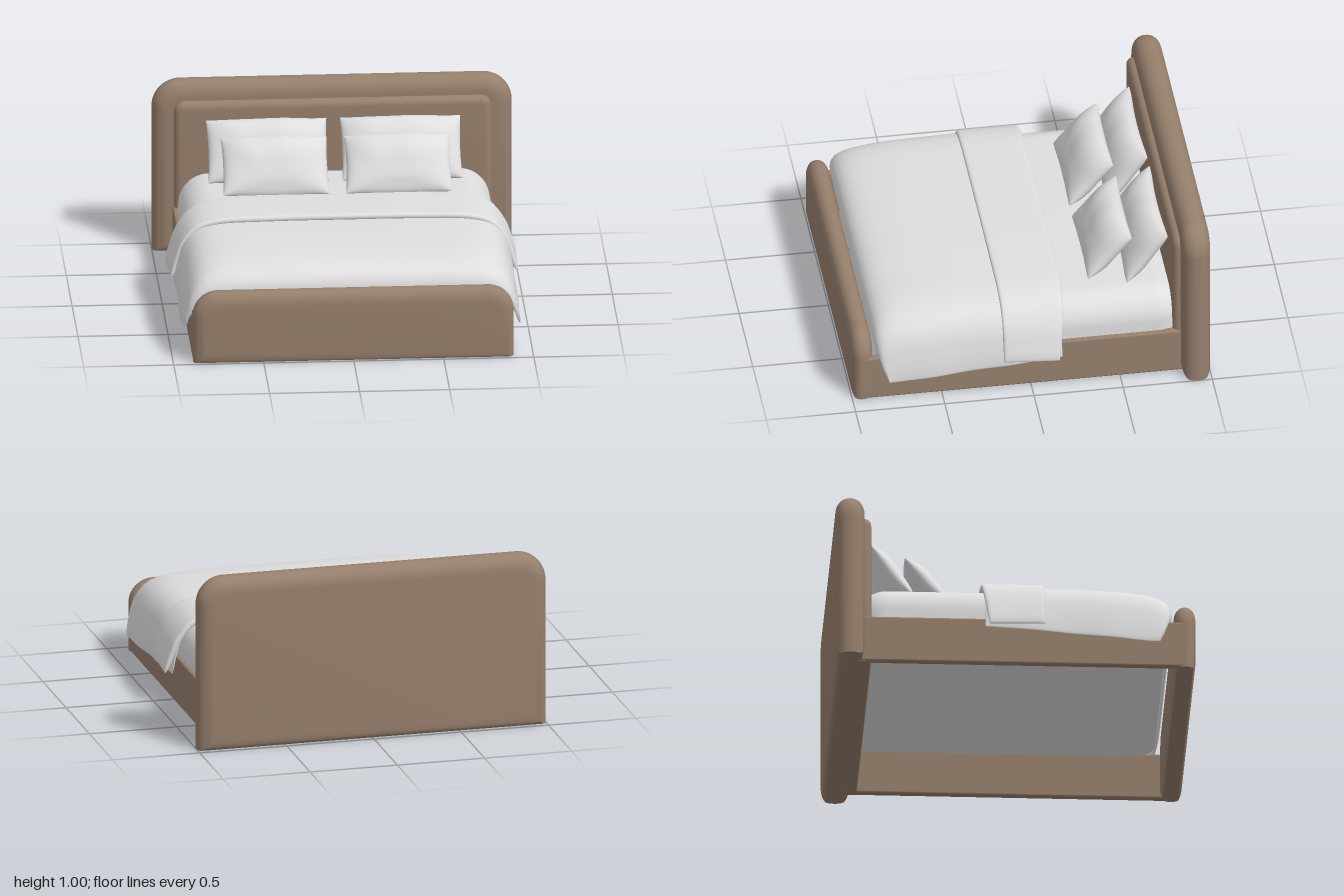
import * as THREE from 'three';
import { mergeVertices, toCreasedNormals } from 'three/addons/utils/BufferGeometryUtils.js';
import { RoundedBoxGeometry } from 'three/addons/geometries/RoundedBoxGeometry.js';

const upholstery = new THREE.MeshStandardMaterial({ color: 0x967f6c });
upholstery.name = 'brown upholstery';
const linen = new THREE.MeshStandardMaterial({ color: 0xdedede });
linen.name = 'white linen';

function mesh(name, geometry, material) {
  const m = new THREE.Mesh(geometry, material);
  m.name = name;
  return m;
}

// flatten everything below a given height
function clampBottom(geo, y) {
  const p = geo.attributes.position;
  for (let i = 0; i < p.count; i++) if (p.getY(i) < y) p.setY(i, y);
  return toCreasedNormals(geo, 0.7);
}

// padded upright board: rounded top corners, soft edges (inset wide, deep along z), flat foot
function board(halfW, top, radius, z0, z1, inset, deep) {
  const w = halfW - inset, t = top - inset, b = inset - 0.02;
  const r = Math.max(radius - inset, 0.012);
  const s = new THREE.Shape();
  s.moveTo(-w, b);
  s.lineTo(w, b);
  s.lineTo(w, t - r);
  s.absarc(w - r, t - r, r, 0, Math.PI / 2);
  s.lineTo(-w + r, t);
  s.absarc(-w + r, t - r, r, Math.PI / 2, Math.PI);
  s.lineTo(-w, b);
  const geo = new THREE.ExtrudeGeometry(s, {
    depth: z1 - z0 - 2 * deep, bevelEnabled: true, bevelSize: inset,
    bevelThickness: deep, bevelSegments: 8, curveSegments: 14,
  });
  geo.translate(0, 0, z0 + deep);
  return clampBottom(geo, 0);
}

// closed soft sheet: mid surface at(u, v) thickened by half(u, v), u and v in -1..1
function softSheet(at, half, nu, nv) {
  const pos = [], idx = [], e = 0.004;
  const count = (nu + 1) * (nv + 1);
  const cl = (a) => Math.min(1, Math.max(-1, a));
  for (const side of [1, -1]) {
    for (let j = 0; j <= nv; j++) {
      for (let i = 0; i <= nu; i++) {
        // denser rows near the hems
        const u = Math.sin((i / nu - 0.5) * Math.PI), v = Math.sin((j / nv - 0.5) * Math.PI);
        const du = at(cl(u + e), v).sub(at(cl(u - e), v));
        const dv = at(u, cl(v + e)).sub(at(u, cl(v - e)));
        const n = dv.cross(du).normalize();
        const p = at(u, v).addScaledVector(n, side * half(u, v));
        pos.push(p.x, p.y, p.z);
      }
    }
  }
  for (let j = 0; j < nv; j++) {
    for (let i = 0; i < nu; i++) {
      const a = j * (nu + 1) + i, b = a + 1, c = a + nu + 1, d = c + 1;
      idx.push(a, c, b, b, c, d);
      idx.push(a + count, b + count, c + count, b + count, d + count, c + count);
    }
  }
  const geo = new THREE.BufferGeometry();
  geo.setAttribute('position', new THREE.Float32BufferAttribute(pos, 3));
  geo.setIndex(idx);
  const merged = mergeVertices(geo, 1e-5);
  merged.computeVertexNormals();
  return merged;
}

// mirrored drape across the bed from half-profile points [x, y]
function drape(points) {
  const left = points.map(([x, y]) => new THREE.Vector3(x, y, 0));
  const right = points.slice(1).reverse().map(([x, y]) => new THREE.Vector3(-x, y, 0));
  const curve = new THREE.CatmullRomCurve3([...right, ...left]);
  return (u) => curve.getPointAt((u + 1) / 2);
}

const hemmed = (t, p) => (u, v) =>
  t * Math.sqrt(Math.max(0, (1 - Math.abs(u) ** p) * (1 - Math.abs(v) ** p)));

function duvet() {
  const across = drape([[0, 0.518], [0.4, 0.517], [0.72, 0.503], [0.82, 0.468],
    [0.88, 0.39], [0.912, 0.28], [0.938, 0.13]]);
  // lengthwise path [z, drop], tucked down behind the footboard
  const along = new THREE.CatmullRomCurve3([[-0.17, 0], [0.15, 0], [0.45, -0.002], [0.66, -0.016],
    [0.79, -0.045], [0.845, -0.085], [0.863, -0.14], [0.86, -0.22]]
    .map(([z, y]) => new THREE.Vector3(0, y, z)));
  const at = (u, v) => {
    const p = across(u), q = along.getPointAt((v + 1) / 2), t = (v + 1) / 2;
    const w = THREE.MathUtils.clamp((0.518 - p.y) / 0.388, 0, 1);
    const ripple = 0.004 * w * Math.sin(q.z * 14);
    return new THREE.Vector3(p.x + Math.sign(u) * ripple,
      p.y + q.y * (1 - w) + w * 0.075 * Math.max(0, 0.78 - q.z),
      q.z - w * 0.08 * t * t * t);
  };
  return softSheet(at, hemmed(0.012, 20), 64, 44);
}

function foldedBand() {
  const across = drape([[0, 0.543], [0.4, 0.541], [0.72, 0.526], [0.82, 0.49],
    [0.893, 0.4], [0.93, 0.3], [0.958, 0.215]]);
  const at = (u, v) => {
    const p = across(u);
    const w = THREE.MathUtils.clamp((0.543 - p.y) / 0.328, 0, 1);
    const back = (1 - v) / 2;
    return new THREE.Vector3(p.x + Math.sign(u) * 0.013 * w * back, p.y - 0.012 * w * back,
      0.16 - back * (0.355 - 0.045 * w));
  };
  return softSheet(at, hemmed(0.018, 24), 64, 24);
}

// stuffed cushion lying flat, pinched between its corners, filling sagging to the low end
function pillow(width, length, thick, pinch) {
  const at = (u, v) => new THREE.Vector3(
    width / 2 * u * (1 - 0.025 * u * u * (1 - v * v)),
    -0.05 * v * (1 - v * v) * (1 - u * u),
    length / 2 * v * (1 - pinch * v * v * (1 - u * u)));
  const half = (u, v) => {
    const body = Math.sqrt(Math.max(0, (1 - Math.abs(u) ** 2.6) * (1 - Math.abs(v) ** 2.8)));
    const pleats = 1 + 0.05 * Math.sin(11 * u * (1 + 0.5 * v)) * Math.max(0, 0.3 - v);
    return thick * body * pleats;
  };
  return softSheet(at, half, 36, 28);
}

export function createModel() {
  const bed = new THREE.Group();
  bed.name = 'bed';

  // frame
  bed.add(mesh('headboard', board(1, 0.995, 0.16, -1, -0.84, 0.085, 0.075), upholstery));
  bed.add(mesh('headboardPanel', board(0.88, 0.89, 0.06, -0.92, -0.8, 0.04, 0.04), upholstery));
  bed.add(mesh('footboard', board(0.89, 0.41, 0.14, 0.88, 1, 0.075, 0.055), upholstery));
  for (const side of [1, -1]) {
    const rail = mesh(side > 0 ? 'leftRail' : 'rightRail',
      new RoundedBoxGeometry(0.045, 0.27, 1.82, 3, 0.012), upholstery);
    rail.position.set(side * 0.867, 0.136, 0.04);
    bed.add(rail);
  }

  // mattress, its head end running into the headboard
  const mattress = new RoundedBoxGeometry(1.73, 0.44, 1.725, 8, 0.17);
  mattress.translate(0, 0.277, -0.0175);
  bed.add(mesh('mattress', clampBottom(mattress, 0.25), linen));

  // bedding
  bed.add(mesh('duvet', duvet(), linen));
  bed.add(mesh('foldedBand', foldedBand(), linen));

  // pillows
  const backPillow = pillow(0.67, 0.37, 0.08, 0.07);
  const frontPillow = pillow(0.59, 0.35, 0.08, 0.03);
  for (const side of [1, -1]) {
    const back = mesh('backPillow', backPillow, linen);
    back.position.set(side * 0.372, 0.645, -0.68);
    back.rotation.x = 0.9;
    const front = mesh('frontPillow', frontPillow, linen);
    front.position.set(side * 0.342, 0.623, -0.482);
    front.rotation.x = 0.8;
    bed.add(back, front);
  }
  return bed;
}
